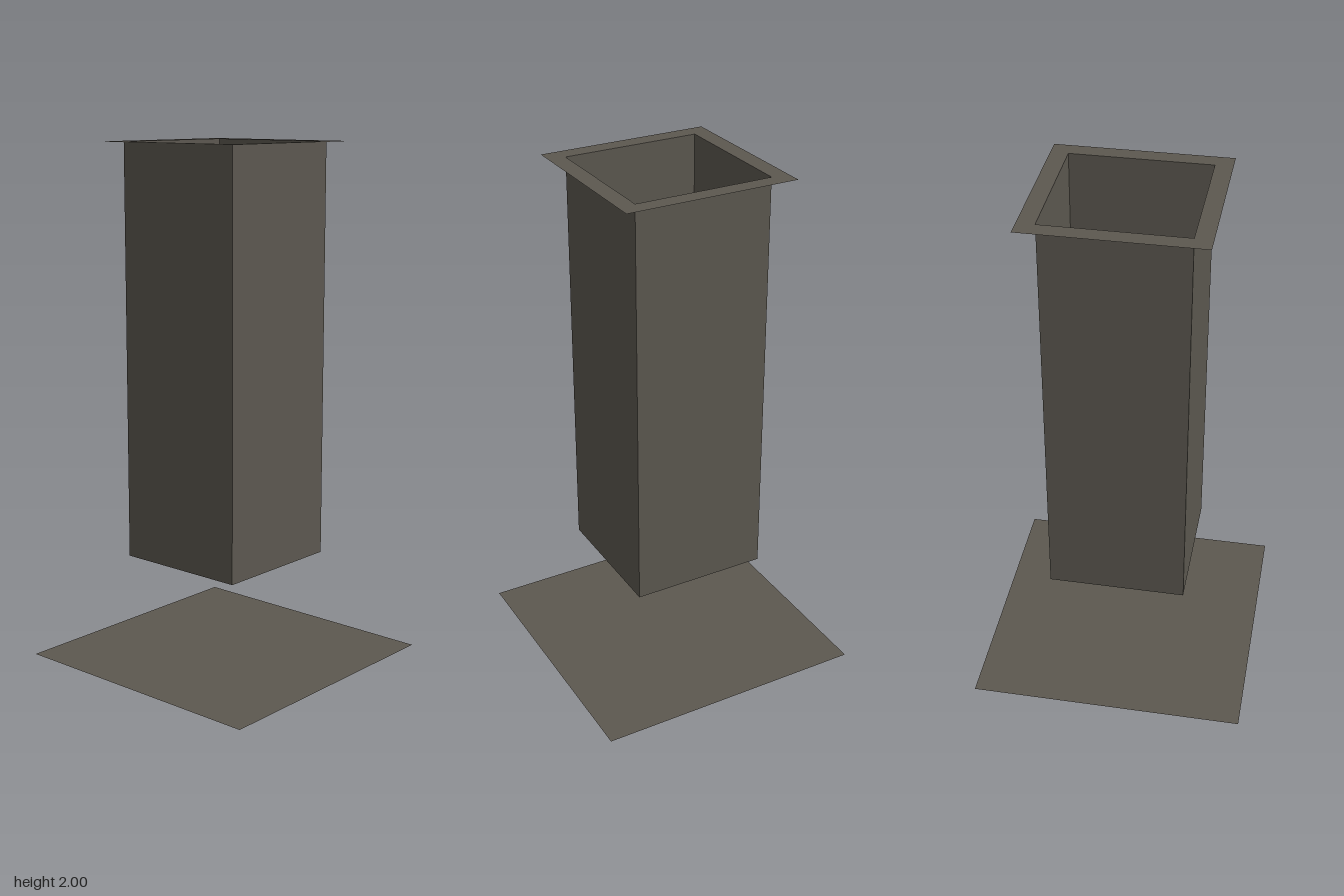
import * as THREE from 'three';

const BASE = 1.0667, SHAFT = 0.5333, FLANGE = 0.6667;
const BOTTOM = 0.4, TOP = 2;

export function createModel() {
  const model = new THREE.Group();
  const metal = new THREE.MeshStandardMaterial({ color: 0x5c5850, side: THREE.DoubleSide });
  metal.name = 'dark grey metal';

  const add = (name, geometry, parent = model) => {
    const mesh = new THREE.Mesh(geometry, metal);
    mesh.name = name;
    parent.add(mesh);
    return mesh;
  };

  // Flat square sheet on the ground
  add('basePlate', new THREE.PlaneGeometry(BASE, BASE).rotateX(-Math.PI / 2));

  // Square shaft, open at both ends, floating above the base
  const shaft = new THREE.Group();
  shaft.name = 'shaft';
  model.add(shaft);
  ['front', 'left', 'back', 'right'].forEach((side, i) => {
    const wall = new THREE.PlaneGeometry(SHAFT, TOP - BOTTOM);
    wall.translate(0, (TOP + BOTTOM) / 2, SHAFT / 2).rotateY(i * Math.PI / 2);
    add(side + 'Wall', wall, shaft);
  });

  // Flat rim around the top opening
  const square = (Type, size) => {
    const h = size / 2;
    return new Type([[-h, -h], [h, -h], [h, h], [-h, h]].map(([x, y]) => new THREE.Vector2(x, y)));
  };
  const rim = square(THREE.Shape, FLANGE);
  rim.holes.push(square(THREE.Path, SHAFT));
  add('topFlange', new THREE.ShapeGeometry(rim).rotateX(-Math.PI / 2)).position.y = TOP;

  return model;
}
